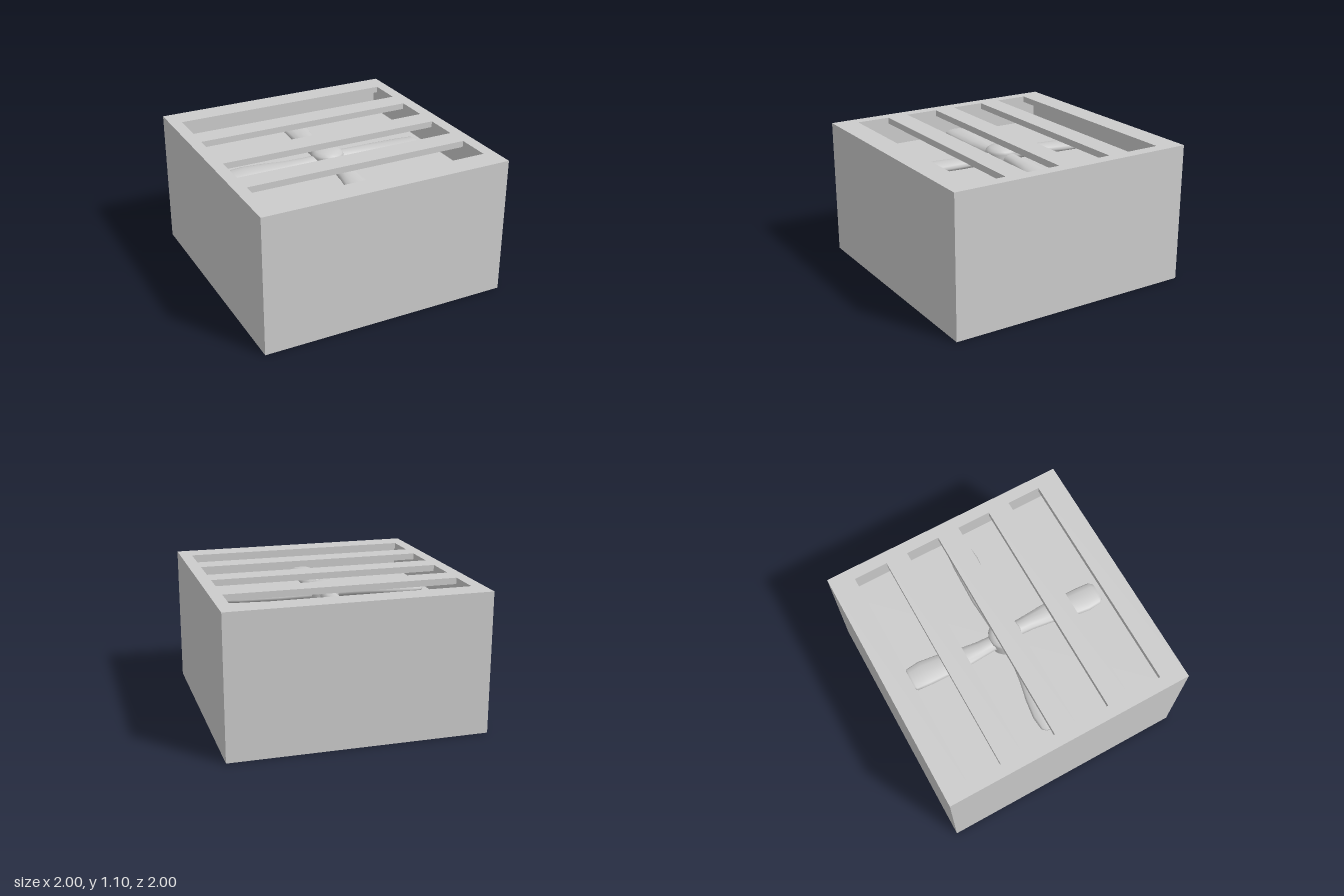
import * as THREE from 'three';

const material = new THREE.MeshStandardMaterial({ color: 0xcccccc });

function add(parent, name, geometry, y = 0) {
  const mesh = new THREE.Mesh(geometry, material);
  mesh.name = name;
  mesh.position.y = y;
  parent.add(mesh);
  return mesh;
}

// Counter-clockwise rectangle in plan, given by x and z limits
function rect(Type, x0, x1, z0, z1) {
  return new Type([[x0, -z1], [x1, -z1], [x1, -z0], [x0, -z0]].map(([x, y]) => new THREE.Vector2(x, y)));
}

// Square slab with rectangular openings, standing on y = 0
function slab(holes, depth) {
  const shape = rect(THREE.Shape, -1, 1, -1, 1);
  shape.holes.push(...holes);
  const geometry = new THREE.ExtrudeGeometry(shape, { depth, bevelEnabled: false });
  return geometry.rotateX(-Math.PI / 2);
}

// Blade pointing to -z: sections of [radius, trailing x, leading x, half thickness]
function bladeGeometry() {
  const sections = [
    [0.04, -0.06, 0.05, 0.045], [0.12, -0.07, 0.055, 0.045], [0.22, -0.075, 0.06, 0.042],
    [0.365, -0.085, 0.08, 0.04], [0.54, -0.08, 0.117, 0.038], [0.68, -0.076, 0.135, 0.036],
    [0.785, -0.067, 0.125, 0.03], [0.811, -0.04, 0.095, 0.018], [0.813, 0.027, 0.028, 0.001],
  ];
  const sides = 12, positions = [], index = [];
  sections.forEach(([r, a, b, t], i) => {
    for (let j = 0; j < sides; j++) {
      const angle = (j / sides) * Math.PI * 2;
      positions.push((a + b) / 2 + ((b - a) / 2) * Math.cos(angle), t * Math.sin(angle), -r);
      if (i === sections.length - 1) continue;
      const p = i * sides + j, q = i * sides + ((j + 1) % sides);
      index.push(p, p + sides, q, q, p + sides, q + sides);
    }
  });
  const geometry = new THREE.BufferGeometry();
  geometry.setAttribute('position', new THREE.Float32BufferAttribute(positions, 3));
  geometry.setIndex(index);
  geometry.computeVertexNormals();
  return geometry;
}

export function createModel() {
  const model = new THREE.Group();
  model.name = 'ventilationUnit';

  // Housing: solid base, rim walls and slotted cover
  add(model, 'base', new THREE.BoxGeometry(2, 0.85, 2), 0.425);
  add(model, 'walls', slab([rect(THREE.Path, -0.95, 0.95, -0.95, 0.95)], 0.2), 0.85);
  const slots = [-0.674, -0.225, 0.225, 0.674].map((z) => rect(THREE.Path, -0.905, 0.905, z - 0.136, z + 0.136));
  add(model, 'slottedCover', slab(slots, 0.05), 1.05);

  // Four-bladed fan on the chamber floor
  const fan = new THREE.Group();
  fan.name = 'fan';
  fan.position.y = 0.85;
  model.add(fan);
  const profile = [[0.128, 0], [0.128, 0.11], [0.12, 0.13], [0.095, 0.148], [0.05, 0.158], [0, 0.16]];
  add(fan, 'hub', new THREE.LatheGeometry(profile.map(([x, y]) => new THREE.Vector2(x, y)), 20));
  const blade = bladeGeometry();
  for (let k = 0; k < 4; k++) {
    add(fan, 'blade', blade, 0.07).rotation.y = (k * Math.PI) / 2;
  }
  return model;
}
